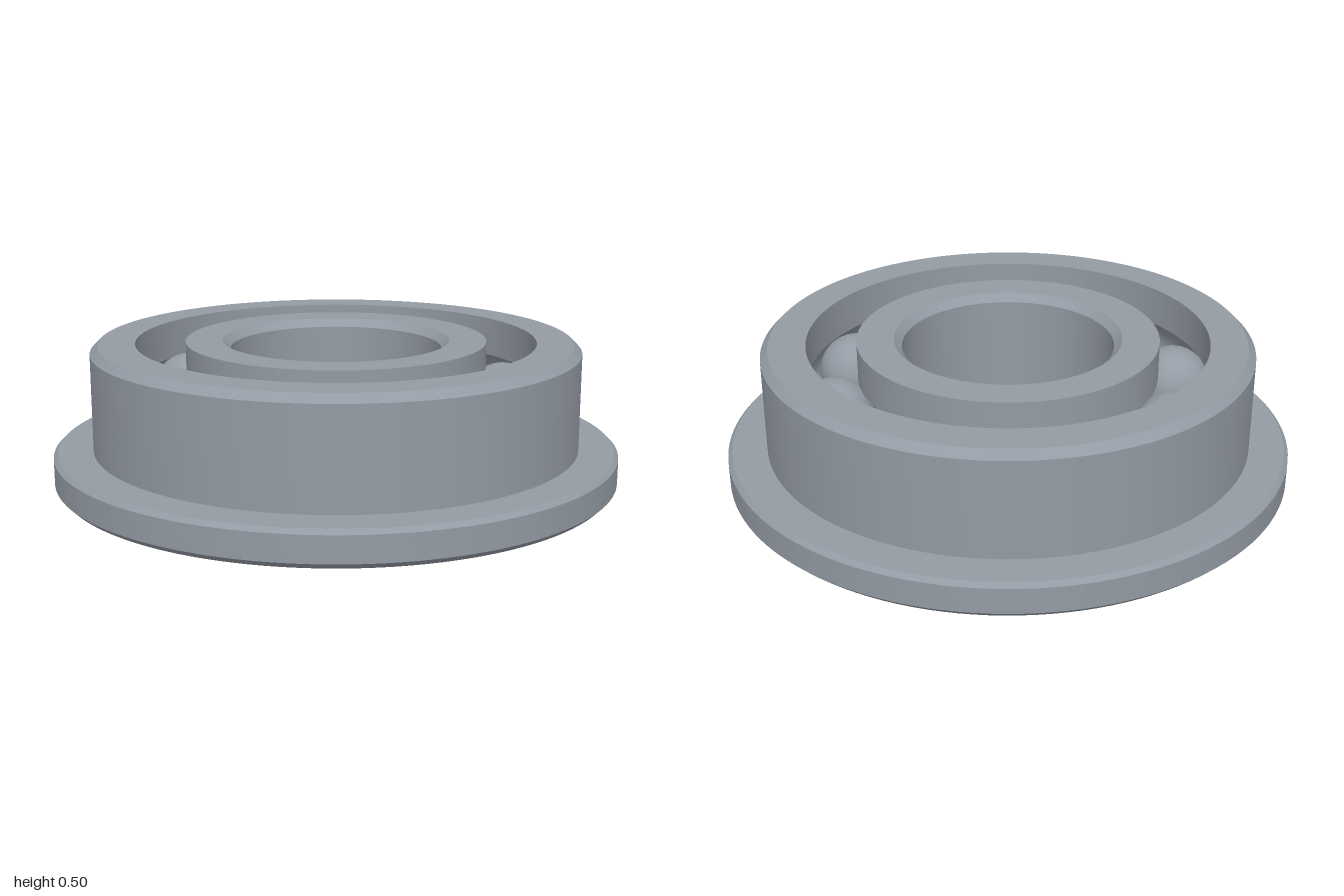
import * as THREE from 'three';
import { toCreasedNormals } from 'three/addons/utils/BufferGeometryUtils.js';

const HEIGHT = 0.495, MID = HEIGHT / 2;
const PITCH = 0.617, BALL_R = 0.136, BALLS = 10;

// Points of a raceway groove, from one wall edge to the other around the ball centre
function groove(wallRadius, upward) {
  const r = BALL_R + 0.003;
  const half = Math.acos(Math.abs(wallRadius - PITCH) / r);
  const side = Math.sign(wallRadius - PITCH);
  const points = [];
  for (let i = 0; i <= 12; i++) {
    const a = (upward ? 1 : -1) * half * (i / 6 - 1);
    points.push([PITCH + side * r * Math.cos(a), MID + r * Math.sin(a)]);
  }
  return points;
}

// Revolves a closed profile, counter-clockwise in (radius, height)
function ring(name, profile, material) {
  const points = [...profile, profile[0]].map(([r, y]) => new THREE.Vector2(r, y));
  const geometry = toCreasedNormals(new THREE.LatheGeometry(points, 128), Math.PI / 7);
  const mesh = new THREE.Mesh(geometry, material);
  mesh.name = name;
  return mesh;
}

export function createModel() {
  const steel = new THREE.MeshStandardMaterial({ color: 0x949ba4 });
  steel.name = 'steel';

  const model = new THREE.Group();
  model.name = 'flangedBallBearing';

  // Outer ring with chamfered flange at the base
  model.add(ring('outerRing', [
    [0.705, 0], [0.98, 0], [1, 0.02], [1, 0.11], [0.985, 0.125],
    [0.862, 0.125], [0.862, HEIGHT - 0.027], [0.835, HEIGHT], [0.705, HEIGHT],
    ...groove(0.705, false),
  ], steel));

  // Inner ring with chamfered bore
  model.add(ring('innerRing', [
    [0.4, 0], [0.53, 0], ...groove(0.53, true),
    [0.53, HEIGHT], [0.4, HEIGHT], [0.372, HEIGHT - 0.028], [0.372, 0.028],
  ], steel));

  // Balls spaced evenly between the raceways
  const balls = new THREE.Group();
  balls.name = 'balls';
  const ballGeometry = new THREE.SphereGeometry(BALL_R, 40, 28);
  for (let i = 0; i < BALLS; i++) {
    const a = THREE.MathUtils.degToRad(6) + (i / BALLS) * Math.PI * 2;
    const ball = new THREE.Mesh(ballGeometry, steel);
    ball.name = 'ball';
    ball.position.set(PITCH * Math.sin(a), MID, PITCH * Math.cos(a));
    balls.add(ball);
  }
  model.add(balls);
  return model;
}
